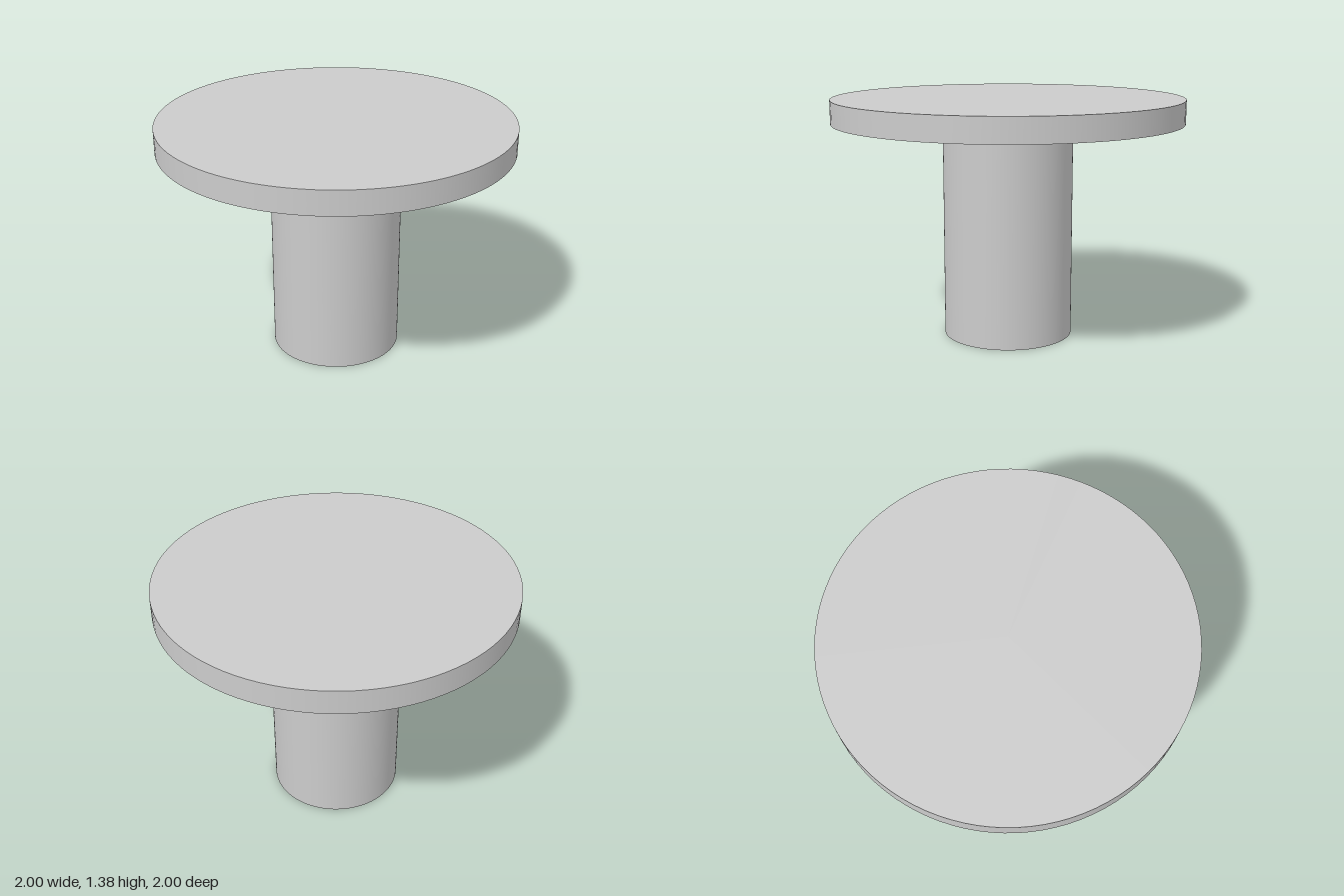
import * as THREE from 'three';

const material = new THREE.MeshStandardMaterial({ color: 0xcccccc });

// Upright disc or column spanning bottom..top
function round(name, radius, bottom, top) {
  const mesh = new THREE.Mesh(
    new THREE.CylinderGeometry(radius, radius, top - bottom, 96),
    material
  );
  mesh.name = name;
  mesh.position.y = (bottom + top) / 2;
  return mesh;
}

export function createModel() {
  const model = new THREE.Group();
  model.name = 'pedestalTable';
  model.add(
    round('pedestal', 0.372, 0, 1.245), // solid central column
    round('tableTop', 1, 1.245, 1.38) // round slab
  );
  return model;
}
